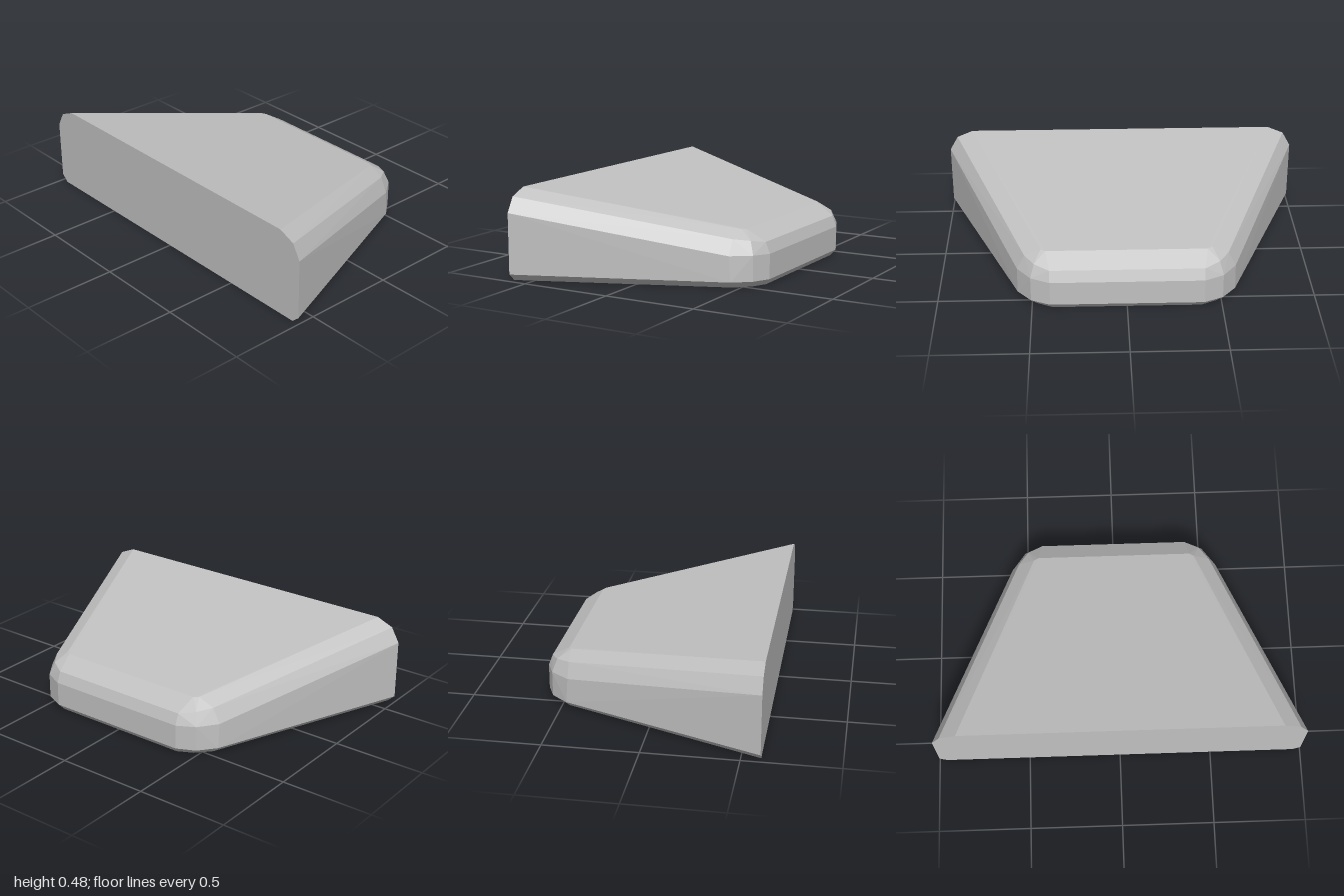
import * as THREE from 'three';
import { ConvexGeometry } from 'three/addons/geometries/ConvexGeometry.js';

// Half outline at each level, from the front edge round the rear corner: [x, y, z]
const levels = [
  // underside
  [[0.96, 0, 0.6], [0.54, 0, -0.46], [0.47, 0, -0.535], [0.39, 0, -0.575]],
  // lower chamfer
  [[1, 0.037, 0.6], [0.578, 0.035, -0.47], [0.505, 0.035, -0.56], [0.405, 0.033, -0.603]],
  // top of the upright walls
  [[1, 0.36, 0.6], [0.578, 0.17, -0.46], [0.505, 0.17, -0.56], [0.405, 0.165, -0.603]],
  // upper bevel
  [[0.955, 0.44, 0.6], [0.537, 0.25, -0.46], [0.485, 0.24, -0.535], [0.405, 0.225, -0.58]],
  // sloping top
  [[0.865, 0.478, 0.6], [0.45, 0.288, -0.465], [0.425, 0.286, -0.48]],
];

export function createModel() {
  const group = new THREE.Group();
  group.name = 'taperedWedge';

  const grey = new THREE.MeshStandardMaterial({ color: 0xc0c0c0 });
  grey.name = 'light grey';

  // Mirror the outlines and wrap them in faceted faces
  const points = levels.flat().flatMap(([x, y, z]) => [
    new THREE.Vector3(x, y, z),
    new THREE.Vector3(-x, y, z),
  ]);
  const body = new THREE.Mesh(new ConvexGeometry(points), grey);
  body.name = 'wedgeBody';
  group.add(body);
  return group;
}
